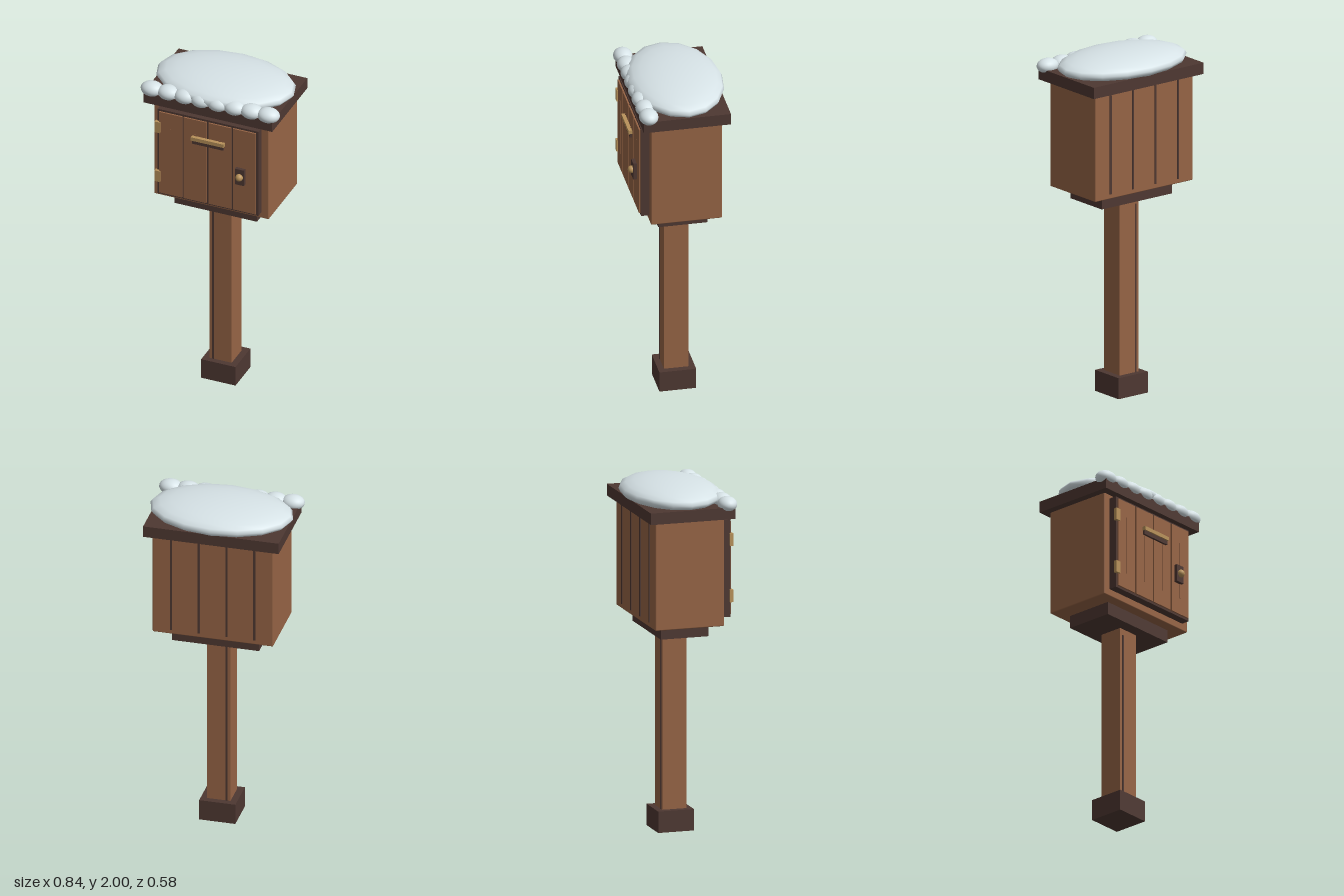
import * as THREE from 'three';
import { RoundedBoxGeometry } from 'three/addons/geometries/RoundedBoxGeometry.js';

const material = (name, color) => {
  const m = new THREE.MeshStandardMaterial({ color });
  m.name = name;
  return m;
};

export function createModel() {
  const model = new THREE.Group();
  model.name = 'mailbox';
  const wood = material('wood', 0x966445);
  const dark = material('dark wood', 0x4e3832);
  const brass = material('brass', 0xb8925a);
  const snow = material('snow', 0xd8e4e8);

  const add = (name, geometry, mat) => {
    const mesh = new THREE.Mesh(geometry, mat);
    mesh.name = name;
    model.add(mesh);
    return mesh;
  };
  // Box given by its extents along each axis
  const box = (name, mat, [x0, x1], [y0, y1], [z0, z1]) =>
    add(name, new THREE.BoxGeometry(x1 - x0, y1 - y0, z1 - z0), mat)
      .position.set((x0 + x1) / 2, (y0 + y1) / 2, (z0 + z1) / 2);
  const ball = (name, mat, radii, position, w = 16, h = 12) => {
    const mesh = add(name, new THREE.SphereGeometry(1, w, h), mat);
    mesh.scale.set(...radii);
    mesh.position.set(...position);
  };

  // Post with footing, grooves and shelf
  box('footing', dark, [-0.104, 0.104], [0, 0.122], [-0.122, 0.087]);
  box('post', wood, [-0.067, 0.067], [0.12, 1.15], [-0.086, 0.054]);
  box('postGrooveFront', dark, [-0.05, -0.04], [0.12, 1.1], [0.05, 0.057]);
  box('postGrooveBack', dark, [-0.05, -0.04], [0.12, 1.1], [-0.09, -0.083]);
  box('shelf', dark, [-0.25, 0.25], [1.138, 1.215], [-0.156, 0.124]);

  // Body and the plank seams on its back
  const body = add('body', new RoundedBoxGeometry(0.694, 0.63, 0.404, 1, 0.006), wood);
  body.position.set(0, 1.527, -0.017);
  for (const x of [-0.24, -0.08, 0.08, 0.24]) {
    box('backSeam', dark, [x - 0.006, x + 0.006], [1.24, 1.815], [-0.224, -0.215]);
  }

  // Door: planks with a fine grain ridge over a dark backing
  box('doorBacking', dark, [-0.305, 0.305], [1.253, 1.808], [0.18, 0.233]);
  for (const x of [-0.223, -0.075, 0.075, 0.223]) {
    box('doorPlank', wood, [x - 0.069, x + 0.069], [1.265, 1.796], [0.23, 0.242]);
    box('doorGrain', wood, [x - 0.003, x + 0.003], [1.36, 1.7], [0.24, 0.244]);
  }

  // Hinges, letter slot and knob
  for (const y of [1.373, 1.695]) {
    box('hinge', brass, [-0.317, -0.285], [y - 0.035, y + 0.035], [0.228, 0.249]);
  }
  box('letterSlot', dark, [-0.088, 0.102], [1.645, 1.675], [0.24, 0.255]);
  box('slotFlap', brass, [-0.092, 0.107], [1.669, 1.691], [0.242, 0.263]);
  box('knobPlate', dark, [0.175, 0.23], [1.448, 1.55], [0.24, 0.262]);
  ball('knob', brass, [0.022, 0.022, 0.022], [0.203, 1.5, 0.266]);

  // Roof under a snow cap, with a row of snow lumps on the front edge
  box('roof', dark, [-0.39, 0.39], [1.83, 1.896], [-0.26, 0.235]);
  ball('snowCap', snow, [0.41, 0.075, 0.268], [0, 1.925, -0.022]);
  for (let i = 0; i < 8; i++) {
    ball('snowLump', snow, [0.066, 0.042, 0.054], [-0.352 + i * 0.1006, 1.911, 0.2], 24, 16);
  }
  return model;
}
